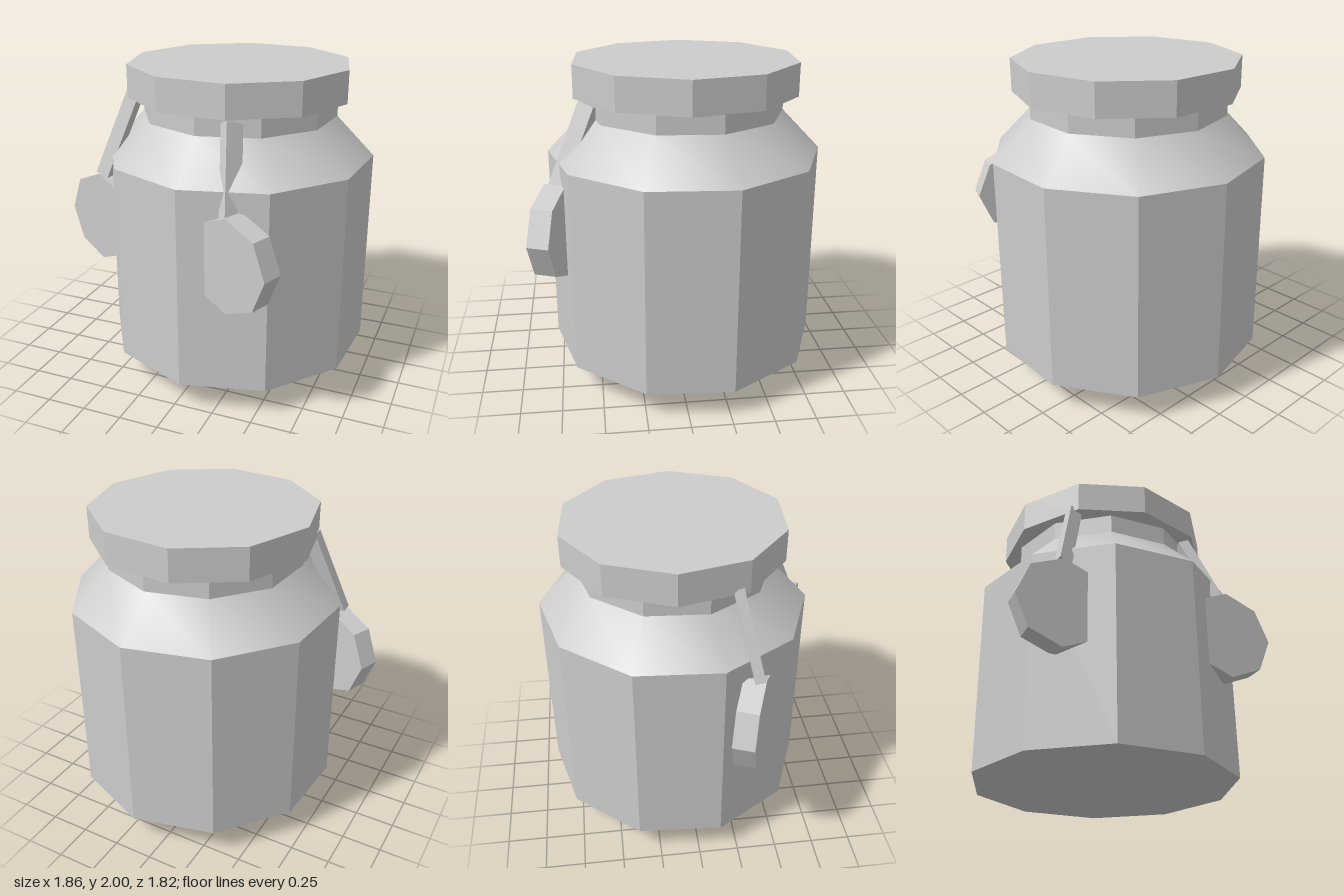
import * as THREE from 'three';
import { toCreasedNormals } from 'three/addons/utils/BufferGeometryUtils.js';
import { ConvexGeometry } from 'three/addons/geometries/ConvexGeometry.js';

export function createModel() {
  const model = new THREE.Group();
  model.name = 'jarWithTags';
  const grey = new THREE.MeshStandardMaterial({ color: 0xcccccc });
  grey.name = 'lightGrey';

  function add(name, geometry) {
    const mesh = new THREE.Mesh(toCreasedNormals(geometry, Math.PI / 6), grey);
    mesh.name = name;
    model.add(mesh);
    return mesh;
  }

  // Ten-sided turned parts share one slightly off-centre axis
  const TURN = -0.071;
  function turned(name, profile, start) {
    const points = profile.map(([r, y]) => new THREE.Vector2(r, y));
    const mesh = add(name, new THREE.LatheGeometry(points, 10, start));
    mesh.position.set(0.108, 0, -0.065);
  }

  // Pointed base, straight body, sloping shoulder and neck
  turned('jar', [[0, 0], [0.847, 0.175], [0.847, 1.43], [0.61, 1.675], [0.61, 1.82]], TURN);
  // Lid, turned half a side against the jar
  turned('lid', [[0, 1.8], [0.695, 1.8], [0.695, 2], [0, 2]], TURN + Math.PI / 10);

  // Two parallel octagonal tags, partly sunk into the jar
  function tag(name, x, z) {
    const disc = new THREE.CylinderGeometry(0.29, 0.29, 0.135, 8);
    disc.rotateX(Math.PI / 2).rotateY(-0.38);
    add(name, disc).position.set(x, 1.022, z);
  }
  tag('leftTag', 0.375, 0.737);
  tag('rightTag', -0.64, 0.322);

  // Leaning straps: the outer edge from top to bottom, and the two sides of the section
  function strap(name, top, bottom, sideA, sideB) {
    const a = new THREE.Vector3(...sideA), b = new THREE.Vector3(...sideB);
    const corners = [];
    for (const end of [top, bottom])
      for (const i of [0, 1])
        for (const j of [0, 1])
          corners.push(new THREE.Vector3(...end).addScaledVector(a, i).addScaledVector(b, j));
    add(name, new ConvexGeometry(corners));
  }
  strap('leftStrap', [0.275, 1.79, 0.58], [0.345, 1.28, 0.787],
    [0.065, -0.03, -0.085], [-0.052, -0.023, -0.04]);
  strap('rightStrap', [-0.505, 1.84, 0.262], [-0.688, 1.32, 0.375],
    [0.083, -0.027, 0.01], [0.005, -0.015, -0.06]);

  return model;
}
